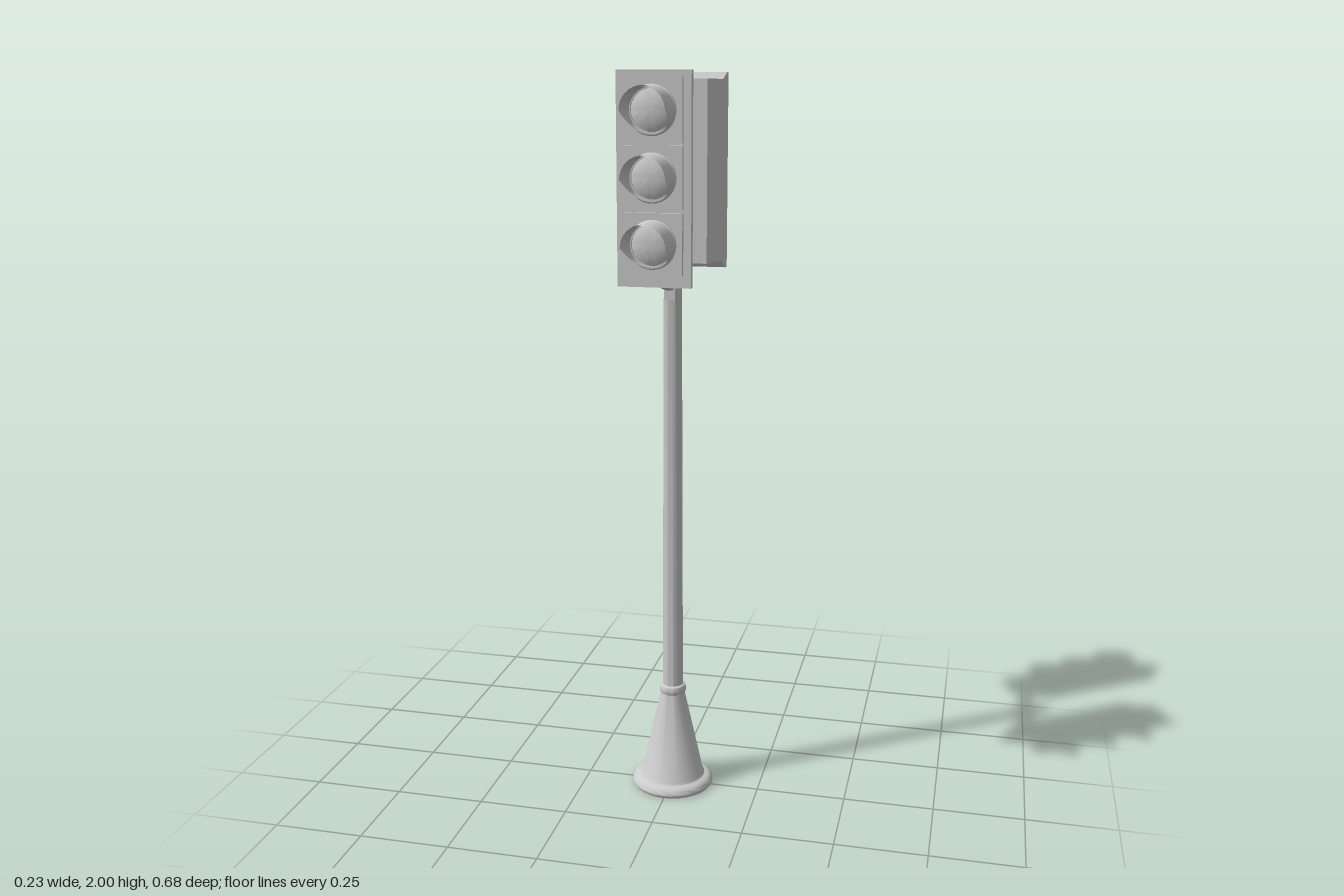
import * as THREE from 'three';
import { toCreasedNormals } from 'three/addons/utils/BufferGeometryUtils.js';

const grey = new THREE.MeshStandardMaterial({ color: 0xcccccc });
const thin = new THREE.MeshStandardMaterial({ color: 0xcccccc, side: THREE.DoubleSide });

function add(parent, name, geometry, x = 0, y = 0, z = 0, material = grey) {
  const mesh = new THREE.Mesh(geometry, material);
  mesh.name = name;
  mesh.position.set(x, y, z);
  parent.add(mesh);
  return mesh;
}

// Turned part from [radius, height] pairs
function turned(profile, segments = 32) {
  const points = profile.map(([r, y]) => new THREE.Vector2(r, y));
  return toCreasedNormals(new THREE.LatheGeometry(points, segments), 0.6);
}

// Solid through rectangles given as [z, halfWidth, bottom, top], back to front
function rectLoft(sections) {
  const rings = sections.map(([z, w, b, t]) => [[-w, b, z], [w, b, z], [w, t, z], [-w, t, z]]);
  const pos = [];
  const quad = (a, b, c, d) => pos.push(...a, ...b, ...c, ...a, ...c, ...d);
  for (let s = 0; s < rings.length - 1; s++) {
    for (let i = 0; i < 4; i++) {
      const j = (i + 1) % 4;
      quad(rings[s][i], rings[s][j], rings[s + 1][j], rings[s + 1][i]);
    }
  }
  const back = rings[0], front = rings[rings.length - 1];
  quad(back[3], back[2], back[1], back[0]);
  quad(...front);
  const geometry = new THREE.BufferGeometry();
  geometry.setAttribute('position', new THREE.Float32BufferAttribute(pos, 3));
  geometry.computeVertexNormals();
  return geometry;
}

// Tube hood: full length over the upper half, swept back underneath
function visorGeometry(radius, inner, back, tip) {
  const geometry = new THREE.CylinderGeometry(1, 1, 1, 32, 4, true);
  const pos = geometry.attributes.position;
  for (let i = 0; i < pos.count; i++) {
    const c = pos.getX(i), s = pos.getZ(i), t = pos.getY(i) + 0.5;
    const reach = s >= 0 ? 1 : Math.pow(1 + s, 1.5);
    const end = back + 0.006 + (tip - back - 0.006) * reach;
    const r = inner ? radius - 0.003 : radius;
    pos.setXYZ(i, c * r, s * r, back + (end - back) * t);
  }
  geometry.computeVertexNormals();
  return geometry;
}

function createHead() {
  const head = new THREE.Group();
  head.name = 'signalHead';

  // Tapered housing with bevelled front flange
  add(head, 'housing', rectLoft([
    [0.116, 0.061, 1.495, 1.982],
    [0.197, 0.0865, 1.495, 1.982],
    [0.213, 0.0945, 1.475, 2.0],
    [0.2305, 0.0945, 1.475, 2.0],
  ]));

  for (const y of [1.583, 1.745, 1.906]) {
    const lamp = new THREE.Group();
    lamp.name = 'lamp';
    lamp.position.y = y;
    head.add(lamp);

    add(lamp, 'doorPanel', new THREE.BoxGeometry(0.149, 0.154, 0.016), 0, 0, 0.234);

    const ring = add(lamp, 'lampRing', turned([
      [0.055, 0.240], [0.0615, 0.249], [0.0615, 0.252], [0.058, 0.255], [0.052, 0.255], [0.052, 0.249],
    ]));
    ring.rotation.x = Math.PI / 2;

    const lens = add(lamp, 'lens', turned([
      [0.053, 0.247], [0.045, 0.251], [0.032, 0.2555], [0.016, 0.258], [0, 0.259],
    ]));
    lens.rotation.x = Math.PI / 2;

    add(lamp, 'visorOuter', visorGeometry(0.058, false, 0.25, 0.34), 0, 0, 0, thin);
    add(lamp, 'visorInner', visorGeometry(0.058, true, 0.25, 0.34), 0, 0, 0, thin);
  }
  return head;
}

function createBracket() {
  const bracket = new THREE.Group();
  bracket.name = 'bracket';
  add(bracket, 'clampPlate', new THREE.BoxGeometry(0.028, 0.094, 0.022), 0, 1.462, 0.0235);

  // Tapered arm with an upturned end under the housing
  const shape = new THREE.Shape([
    [0.03, 1.44], [0.165, 1.47], [0.165, 1.497], [0.145, 1.497], [0.142, 1.486], [0.03, 1.486],
  ].map(([z, y]) => new THREE.Vector2(-z, y)));
  const arm = new THREE.ExtrudeGeometry(shape, { depth: 0.019, bevelEnabled: false });
  arm.translate(0, 0, -0.0095);
  arm.rotateY(Math.PI / 2);
  add(bracket, 'arm', arm);
  return bracket;
}

export function createModel() {
  const model = new THREE.Group();
  model.name = 'trafficSignal';

  // Flared foot with rounded rim and a collar
  add(model, 'base', turned([
    [0, 0], [0.112, 0], [0.116, 0.006], [0.116, 0.012], [0.112, 0.02], [0.104, 0.026], [0.092, 0.029],
    [0.088, 0.035], [0.034, 0.28], [0, 0.28],
  ]));
  add(model, 'collar', turned([
    [0.03, 0.278], [0.035, 0.281], [0.0375, 0.288], [0.0375, 0.297], [0.035, 0.304], [0.028, 0.308],
  ]));

  // Slightly tapered pole with flared cap
  add(model, 'pole', turned([
    [0.029, 0.28], [0.024, 1.505], [0.029, 1.528], [0.029, 1.542], [0, 1.542],
  ]));

  // Two heads back to back
  for (const angle of [0, Math.PI]) {
    const head = createHead();
    head.rotation.y = angle;
    head.position.x = 0.006;
    const bracket = createBracket();
    bracket.rotation.y = angle;
    model.add(head, bracket);
  }
  return model;
}
